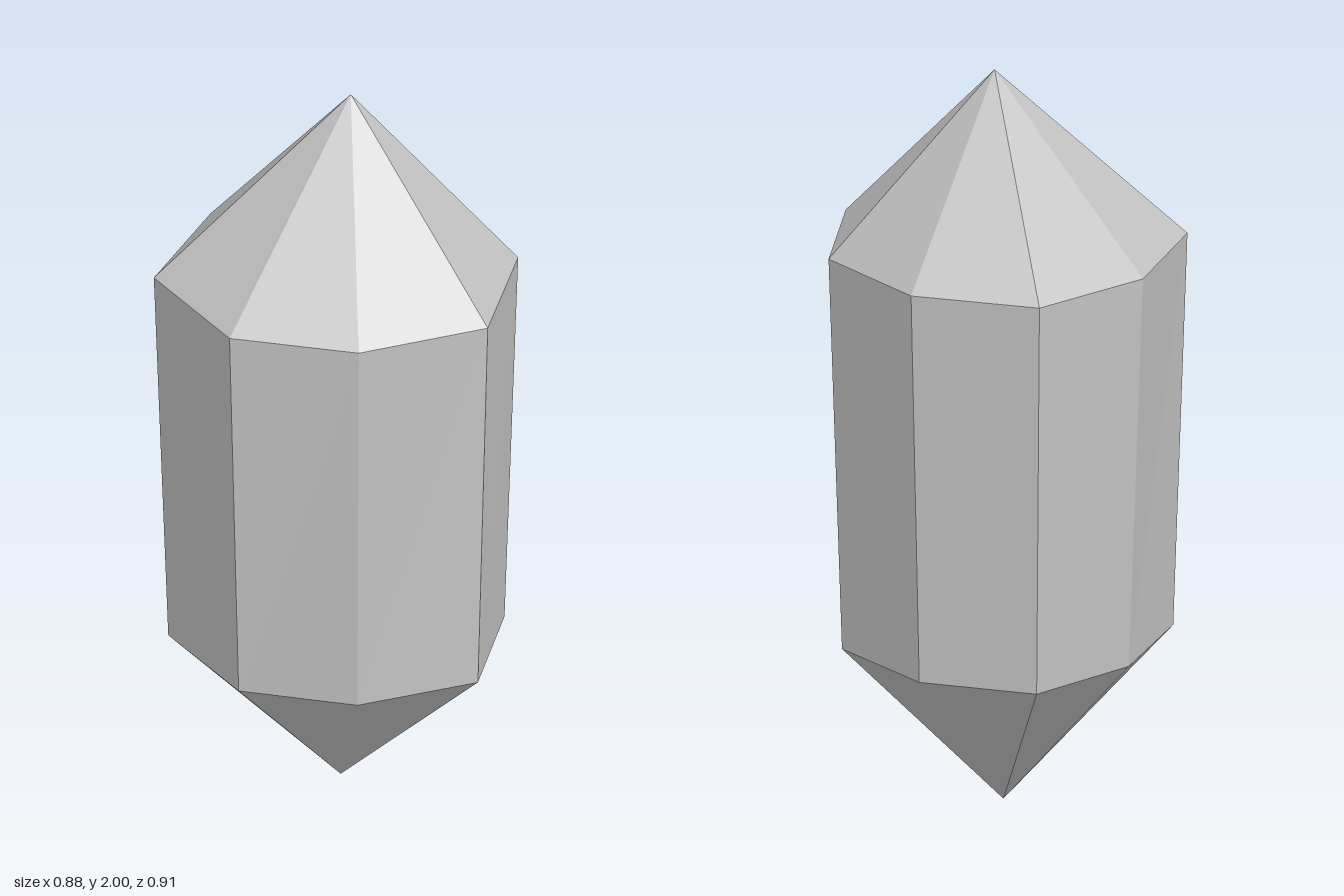
import * as THREE from 'three';

// Distance of each corner from the axis, counter-clockwise from +x
const SHOULDER = [0.428, 0.455, 0.426, 0.479, 0.452, 0.428, 0.481, 0.455];
const FOOT = [0.39, 0.42, 0.383, 0.442, 0.415, 0.397, 0.449, 0.42];
const AXIS = { x: 0.011, z: -0.031 };

// Irregular octagonal cross-section at height y
function ring(radii, y) {
  return radii.map((r, i) => {
    const a = (i / radii.length) * Math.PI * 2;
    return [AXIS.x + r * Math.cos(a), y, AXIS.z - r * Math.sin(a)];
  });
}

// Facets between a lower and an upper ring; a single point stands for a tip
function facets(name, lower, upper, material) {
  const n = Math.max(lower.length, upper.length);
  const at = (points, i) => points[i % points.length];
  const positions = [];
  for (let i = 0; i < n; i++) {
    if (lower.length > 1) positions.push(...at(lower, i), ...at(lower, i + 1), ...at(upper, i + 1));
    if (upper.length > 1) positions.push(...at(lower, i), ...at(upper, i + 1), ...at(upper, i));
  }
  const geometry = new THREE.BufferGeometry();
  geometry.setAttribute('position', new THREE.Float32BufferAttribute(positions, 3));
  geometry.computeVertexNormals();
  const mesh = new THREE.Mesh(geometry, material);
  mesh.name = name;
  return mesh;
}

export function createModel() {
  const crystalGrey = new THREE.MeshStandardMaterial({ color: 0xc4c4c4 });
  crystalGrey.name = 'crystal grey';
  crystalGrey.flatShading = true;

  const foot = ring(FOOT, 0.44);
  const shoulder = ring(SHOULDER, 1.505);

  const crystal = new THREE.Group();
  crystal.name = 'crystal';
  crystal.add(
    facets('lowerPoint', [[AXIS.x, 0, AXIS.z]], foot, crystalGrey),
    facets('shaft', foot, shoulder, crystalGrey),
    facets('upperPoint', shoulder, [[0.052, 2, AXIS.z]], crystalGrey), // tip leans towards +x
  );
  return crystal;
}
